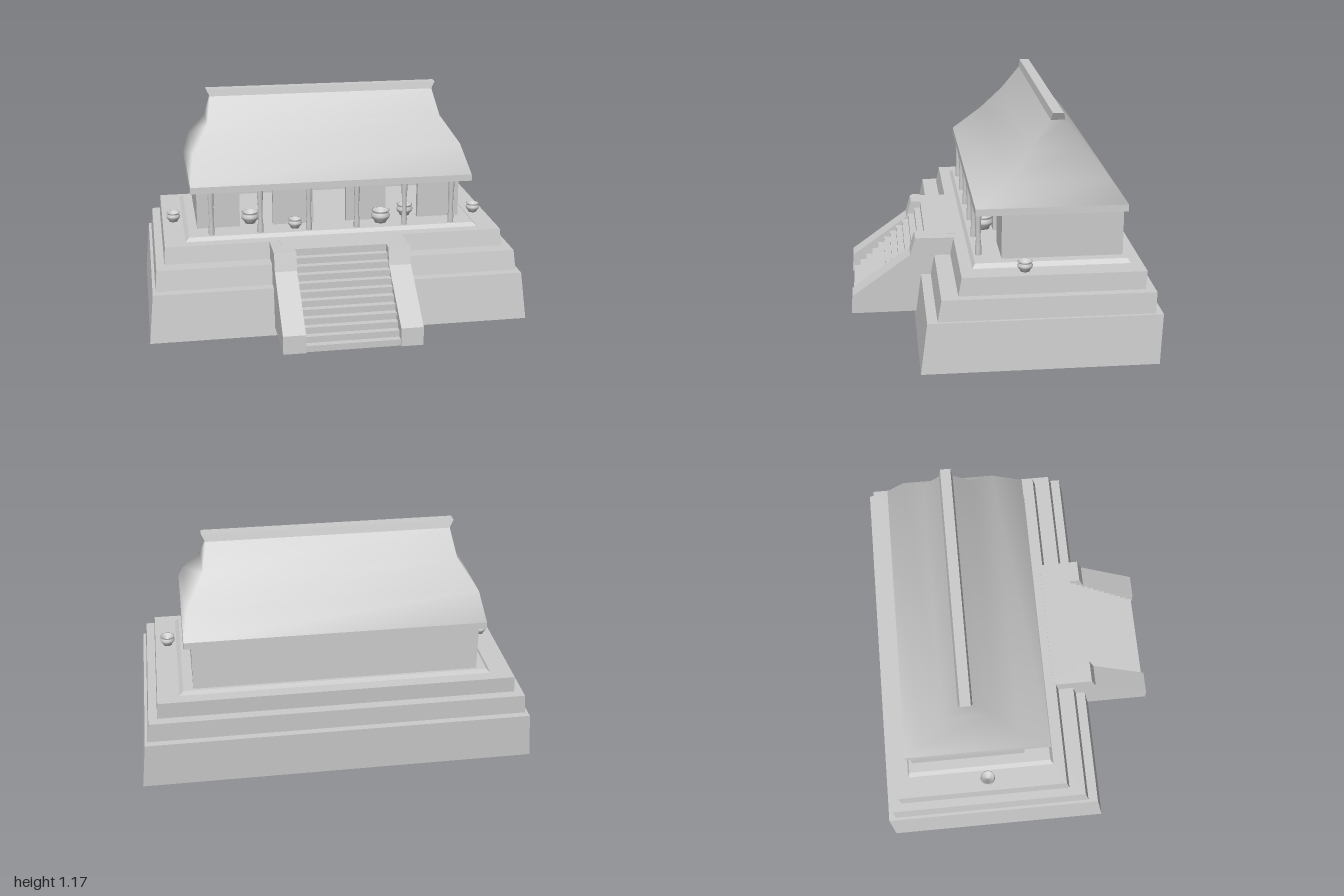
import * as THREE from 'three';

const grey = new THREE.MeshStandardMaterial({ color: 0xcccccc });
const greyDouble = new THREE.MeshStandardMaterial({ color: 0xcccccc, side: THREE.DoubleSide });

// Stack of rectangular sections [y, halfWidth, backZ, frontZ] joined into a skin
function loft(rings, { smooth = false, bottom = false, top = true } = {}) {
  const pos = [], idx = [];
  for (const [y, x, z0, z1] of rings) pos.push(-x, y, z1, x, y, z1, x, y, z0, -x, y, z0);
  for (let r = 0; r < rings.length - 1; r++) {
    for (let i = 0; i < 4; i++) {
      const a = r * 4 + i, b = r * 4 + (i + 1) % 4;
      idx.push(a, b, b + 4, a, b + 4, a + 4);
    }
  }
  const t = (rings.length - 1) * 4;
  if (top) idx.push(t, t + 1, t + 2, t, t + 2, t + 3);
  if (bottom) idx.push(0, 2, 1, 0, 3, 2);
  let g = new THREE.BufferGeometry();
  g.setAttribute('position', new THREE.Float32BufferAttribute(pos, 3));
  g.setIndex(idx);
  if (!smooth) g = g.toNonIndexed();
  g.computeVertexNormals();
  return g;
}

export function createModel() {
  const model = new THREE.Group();
  model.name = 'templeOnPlatform';
  const add = (name, geometry, material = grey, parent = model) => {
    const m = new THREE.Mesh(geometry, material);
    m.name = name;
    parent.add(m);
    return m;
  };
  const block = (x0, x1, y0, y1, z0, z1) =>
    new THREE.BoxGeometry(x1 - x0, y1 - y0, z1 - z0)
      .translate((x0 + x1) / 2, (y0 + y1) / 2, (z0 + z1) / 2);

  // Stepped platform, hollow underneath
  add('lowerTier', loft([[0, 1, -0.735, 0.42], [0.25, 0.975, -0.75, 0.385]]), greyDouble);
  add('middleTier', loft([[0.25, 0.96, -0.715, 0.335], [0.355, 0.95, -0.72, 0.315]]));
  add('upperTier', loft([[0.355, 0.907, -0.672, 0.232], [0.445, 0.9, -0.68, 0.215]]));
  add('templeFloor', loft([[0.445, 0.79, -0.62, 0.155], [0.465, 0.77, -0.61, 0.14]]));

  // Staircase: overlapping treads, landing and sloping side walls
  const stairs = new THREE.Group();
  stairs.name = 'staircase';
  model.add(stairs);
  const count = 12, rise = 0.4 / count, run = 0.0345;
  for (let i = 0; i < count; i++) {
    const front = 0.74 - i * run, y = 0.045 + i * rise;
    add('step', block(-0.245, 0.245, y, y + rise, front - 0.37, front), grey, stairs);
  }
  add('landing', block(-0.3, 0.3, 0.36, 0.449, 0.2, 0.36), grey, stairs);
  const profile = new THREE.Shape([
    [0.75, 0.045], [0.745, 0.14], [0.44, 0.36], [0.413, 0.45],
    [0.21, 0.447], [0.21, 0.25], [0.33, 0.045],
  ].map(([z, y]) => new THREE.Vector2(z, y)));
  for (const outer of [0.355, -0.24]) {
    const g = new THREE.ExtrudeGeometry(profile, { depth: 0.115, bevelEnabled: false });
    add('stairSideWall', g.rotateY(-Math.PI / 2).translate(outer, 0, 0), grey, stairs);
  }

  // Chamber walls with three doorways in front
  const y0 = 0.465, y1 = 0.7;
  add('backWall', block(-0.72, 0.72, y0, y1, -0.595, -0.565));
  for (const s of [-1, 1]) add('sideWall', block(s * 0.705 - 0.015, s * 0.705 + 0.015, y0, y1, -0.565, 0.005));
  const facade = new THREE.Shape();
  facade.moveTo(-0.69, y0);
  for (const c of [-0.4, 0, 0.4]) {
    facade.lineTo(c - 0.09, y0);
    facade.lineTo(c - 0.09, 0.67);
    facade.lineTo(c + 0.09, 0.67);
    facade.lineTo(c + 0.09, y0);
  }
  facade.lineTo(0.69, y0);
  facade.lineTo(0.69, y1);
  facade.lineTo(-0.69, y1);
  add('frontWall', new THREE.ExtrudeGeometry(facade, { depth: 0.03, bevelEnabled: false }).translate(0, 0, -0.025));

  // Porch columns, slightly waisted
  const columnProfile = [[0.016, y0], [0.016, 0.5], [0.012, 0.54], [0.013, 0.62], [0.016, 0.67], [0.016, y1]]
    .map(([r, y]) => new THREE.Vector2(r, y));
  for (let i = 0; i < 6; i++) {
    add('porchColumn', new THREE.LatheGeometry(columnProfile, 10)).position.set(-0.65 + i * 0.26, 0, 0.113);
  }

  // Thatched roof: eave band, sweeping body, flared ridge
  add('eave', loft([[0.7, 0.757, -0.61, 0.137], [0.735, 0.755, -0.61, 0.135]], { bottom: true, top: false }));
  add('roof', loft([
    [0.735, 0.755, -0.61, 0.135],
    [0.865, 0.73, -0.515, -0.03],
    [1.0, 0.64, -0.4, -0.143],
    [1.13, 0.615, -0.313, -0.242],
  ], { smooth: true, top: false }));
  add('ridge', loft([[1.13, 0.615, -0.313, -0.242], [1.168, 0.635, -0.303, -0.25]]));

  // Round jars with a flared rim: x, floor y, z, radius
  const jarProfile = [[0, 0], [0.6, 0], [0.66, 0.2], [0.95, 0.55], [1, 0.8], [0.85, 1.08],
    [0.8, 1.15], [0.95, 1.3], [0.86, 1.3], [0.7, 1.12], [0, 0.5]].map(([r, y]) => new THREE.Vector2(r, y));
  for (const [x, y, z, r] of [
    [-0.84, 0.445, -0.2, 0.038], [0.835, 0.445, -0.095, 0.038],
    [-0.2, y0, 0.07, 0.038], [0.273, y0, 0.052, 0.052],
    [-0.43, y0, -0.05, 0.048], [0.43, y0, -0.05, 0.045],
  ]) {
    const jar = add('jar', new THREE.LatheGeometry(jarProfile, 20), greyDouble);
    jar.scale.setScalar(r);
    jar.position.set(x, y, z);
  }
  return model;
}
